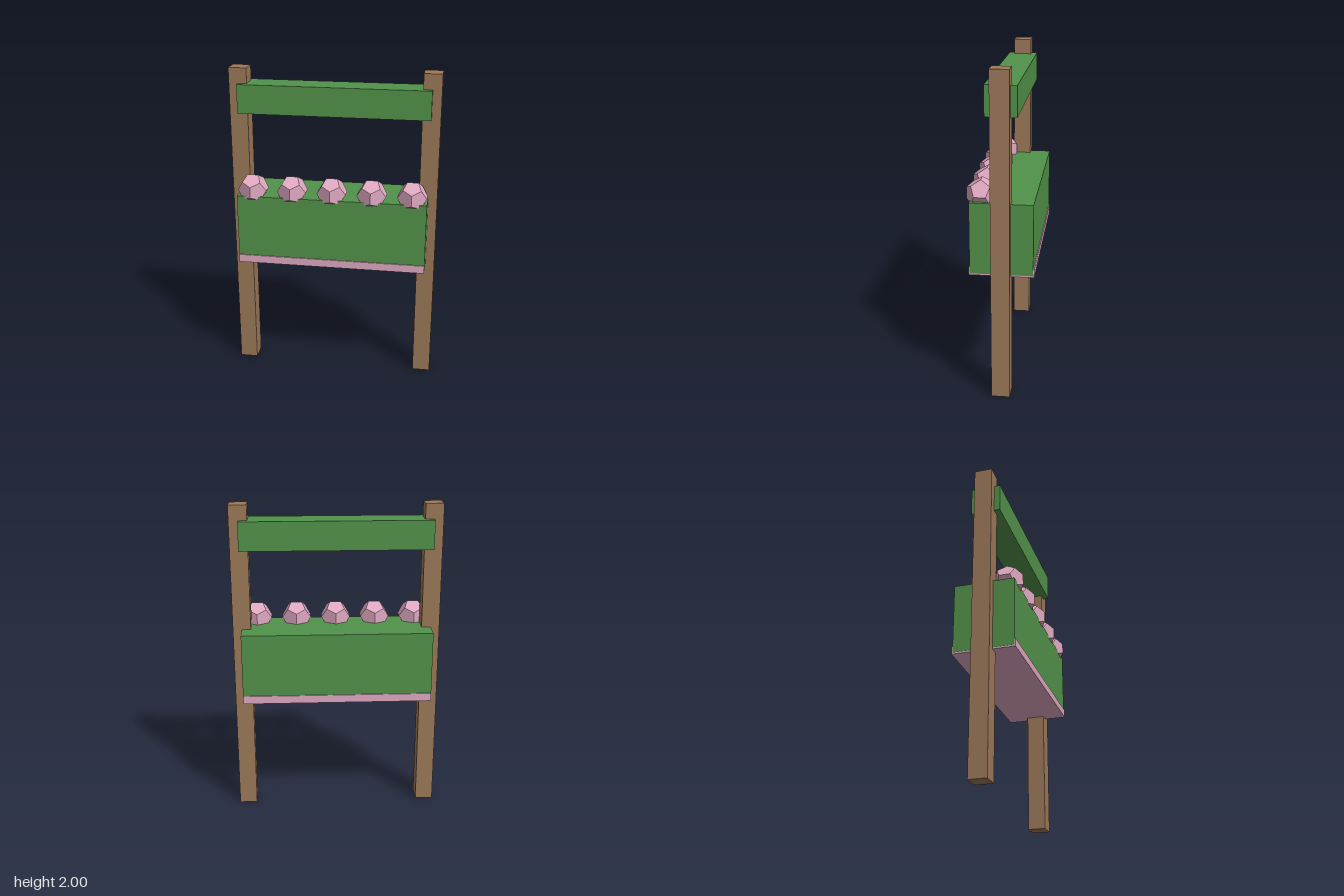
import * as THREE from 'three';

export function createModel() {
  const model = new THREE.Group();
  model.name = 'planterStand';

  const material = (name, color) => {
    const m = new THREE.MeshStandardMaterial({ color });
    m.name = name;
    return m;
  };
  const wood = material('brown wood', 0x9c7959);
  const green = material('green paint', 0x52924a);
  const pink = material('pink', 0xdfa8c1);

  const CZ = -0.012; // shared centre line of the frame

  const add = (name, geometry, mat, x, y, z) => {
    const mesh = new THREE.Mesh(geometry, mat);
    mesh.name = name;
    mesh.position.set(x, y, z);
    model.add(mesh);
  };
  // Box spanning y0 to y1
  const addBox = (name, mat, width, y0, y1, depth, x = 0) =>
    add(name, new THREE.BoxGeometry(width, y1 - y0, depth), mat, x, (y0 + y1) / 2, CZ);

  // Two upright posts
  for (const side of [-1, 1]) {
    addBox(side > 0 ? 'leftPost' : 'rightPost', wood, 0.112, 0, 2, 0.112, side * 0.593);
  }

  // Top beam, planter box and the tray beneath it
  addBox('topBeam', green, 1.186, 1.725, 1.905, 0.186);
  addBox('planterBox', green, 1.186, 0.785, 1.222, 0.375);
  addBox('tray', pink, 1.184, 0.775, 0.825, 0.388);

  // Row of faceted flowers along the front edge
  const bloom = new THREE.DodecahedronGeometry(0.097);
  for (let i = -2; i <= 2; i++) {
    add('flower' + (i + 3), bloom, pink, i * 0.25, 1.255, 0.112);
  }

  return model;
}
